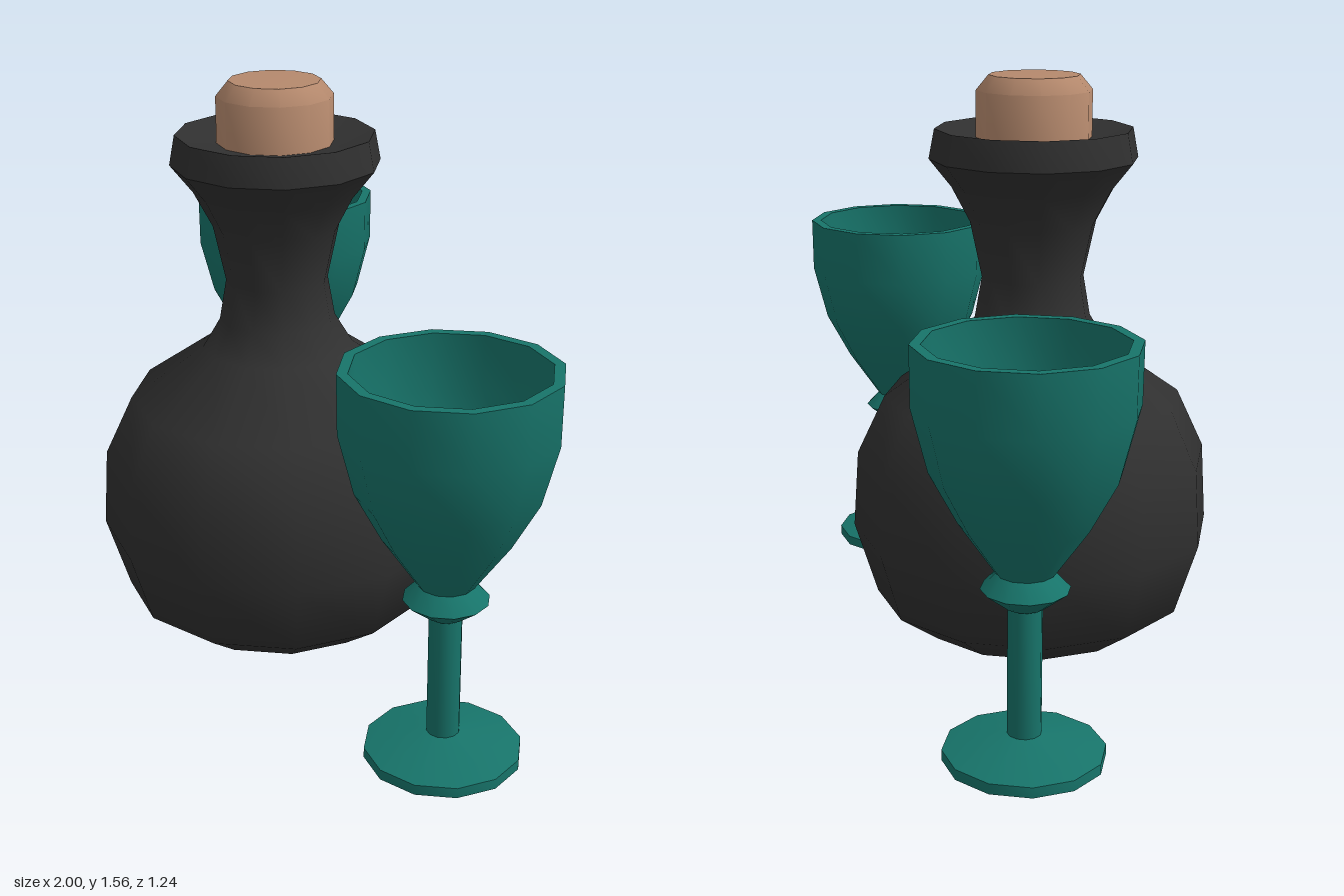
import * as THREE from 'three';
import { toCreasedNormals } from 'three/addons/utils/BufferGeometryUtils.js';

const SIDES = 12;

// Turns a [radius, height] profile (bottom to top) into a 12-sided smooth solid.
function turned(name, profile, material) {
  const points = profile.map(([r, y]) => new THREE.Vector2(r, y));
  const geometry = toCreasedNormals(new THREE.LatheGeometry(points, SIDES), 0.8);
  const mesh = new THREE.Mesh(geometry, material);
  mesh.name = name;
  return mesh;
}

function paint(color) {
  return new THREE.MeshStandardMaterial({ color });
}

function createBottle() {
  const bottle = new THREE.Group();
  bottle.name = 'bottle';

  // Round belly, narrow neck and flared lip that dips in to the stopper
  const body = turned('bottleBody', [
    [0, 0.02], [0.21, 0.02], [0.31, 0.035], [0.43, 0.12], [0.493, 0.32],
    [0.48, 0.53], [0.405, 0.69], [0.205, 0.83], [0.157, 0.91], [0.138, 1.02],
    [0.17, 1.17], [0.22, 1.265], [0.28, 1.34], [0.265, 1.42],
    [0.2, 1.405], [0.15, 1.395], [0.14, 1.3],
  ], paint(0x303030));

  // Stopper with a bevelled top
  const stopper = turned('corkStopper', [
    [0, 1.3], [0.155, 1.3], [0.155, 1.52], [0.122, 1.56], [0, 1.562],
  ], paint(0xb5896d));

  bottle.add(body, stopper);
  return bottle;
}

function createGoblet(name, material) {
  const goblet = new THREE.Group();
  goblet.name = name;

  // Foot, stem, knop and hollow cup
  goblet.add(
    turned('foot', [[0, 0], [0.2, 0], [0.2, 0.027], [0.042, 0.067], [0, 0.067]], material),
    turned('stem', [[0.042, 0.06], [0.042, 0.41]], material),
    turned('knop', [[0, 0.395], [0.05, 0.395], [0.108, 0.44], [0.07, 0.48], [0, 0.48]], material),
    turned('cup', [
      [0, 0.475], [0.072, 0.48], [0.16, 0.605], [0.228, 0.73], [0.268, 0.885], [0.27, 1.037],
      [0.243, 1.037], [0.24, 0.89], [0.203, 0.74], [0.135, 0.62], [0.06, 0.525], [0, 0.515],
    ], material),
  );
  return goblet;
}

export function createModel() {
  const model = new THREE.Group();
  model.name = 'bottleAndGoblets';

  const bottle = createBottle();
  bottle.position.set(-0.105, 0, 0.12);

  const glaze = paint(0x17746a);
  const leftGoblet = createGoblet('leftGoblet', glaze);
  leftGoblet.position.set(0.73, 0, 0.215);
  const rightGoblet = createGoblet('rightGoblet', glaze);
  rightGoblet.position.set(-0.73, 0, -0.352);

  model.add(bottle, leftGoblet, rightGoblet);
  return model;
}
